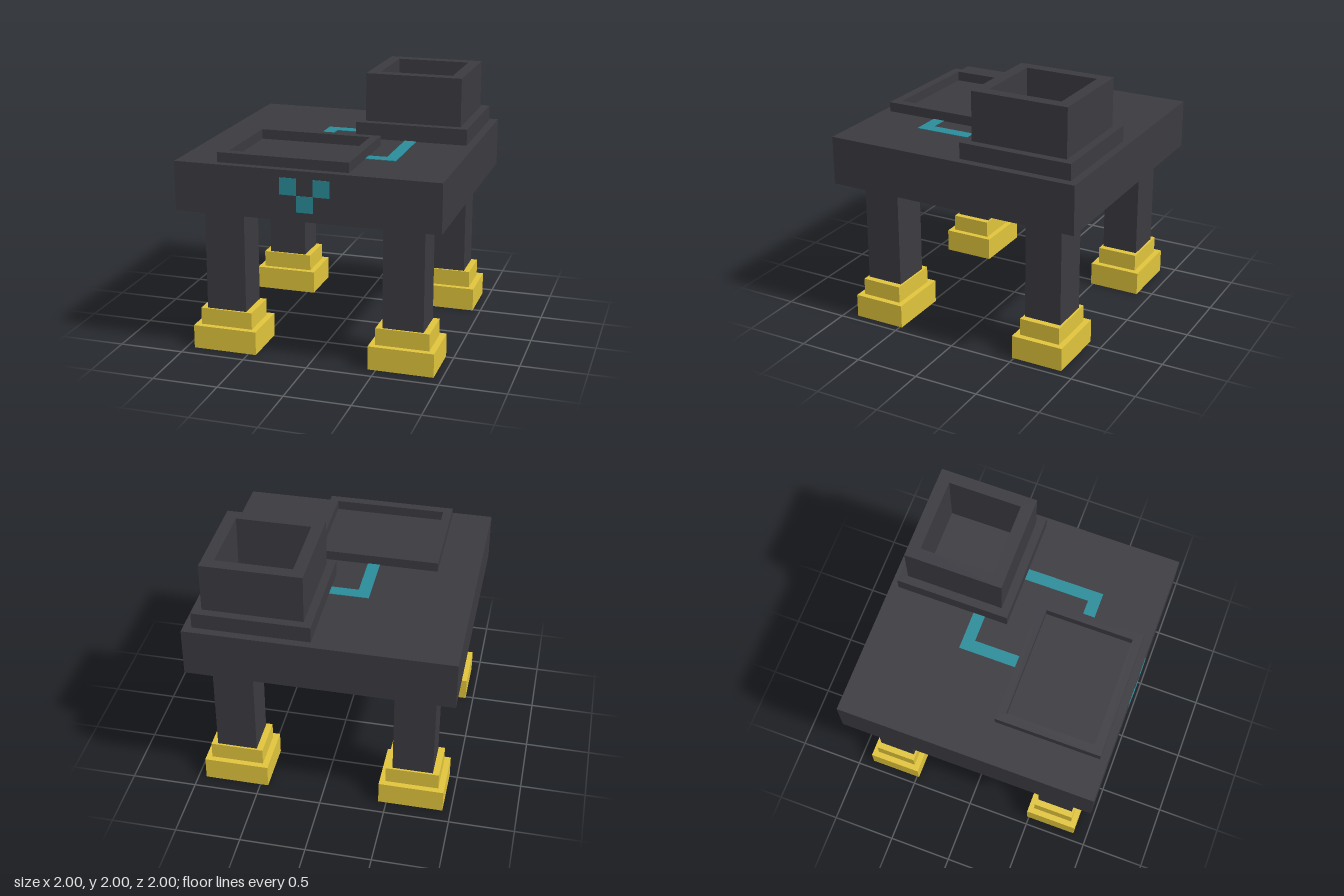
import * as THREE from 'three';

const dark = new THREE.MeshStandardMaterial({ name: 'charcoal', color: 0x3b3a40 });
const gold = new THREE.MeshStandardMaterial({ name: 'gold', color: 0xe0c43c });
const teal = new THREE.MeshStandardMaterial({ name: 'teal', color: 0x2a8c9a });

// Box given by its limits on each axis
function box(name, material, [x0, x1], [y0, y1], [z0, z1]) {
  const mesh = new THREE.Mesh(new THREE.BoxGeometry(x1 - x0, y1 - y0, z1 - z0), material);
  mesh.position.set((x0 + x1) / 2, (y0 + y1) / 2, (z0 + z1) / 2);
  mesh.name = name;
  return mesh;
}

// Counter-clockwise rectangle in plan, so that walls of openings face inwards
function rectangle(Type, [x0, x1], [z0, z1]) {
  return new Type([[x0, z1], [x1, z1], [x1, z0], [x0, z0]].map(([x, z]) => new THREE.Vector2(x, -z)));
}

// Upright rectangular frame: outer box with a rectangular opening through it
function frame(name, x, [y0, y1], z, holeX, holeZ) {
  const shape = rectangle(THREE.Shape, x, z);
  shape.holes.push(rectangle(THREE.Path, holeX, holeZ));
  const geometry = new THREE.ExtrudeGeometry(shape, { depth: y1 - y0, bevelEnabled: false });
  geometry.rotateX(-Math.PI / 2);
  const mesh = new THREE.Mesh(geometry, dark);
  mesh.position.y = y0;
  mesh.name = name;
  return mesh;
}

export function createModel() {
  const model = new THREE.Group();
  model.name = 'fourLeggedTable';

  // Body slab
  model.add(box('slab', dark, [-1, 1], [1.127, 1.501], [-1, 0.997]));

  // Four legs with stepped feet
  for (const sx of [-1, 1]) {
    for (const sz of [-1, 1]) {
      const leg = new THREE.Group();
      leg.name = (sz > 0 ? 'front' : 'back') + (sx > 0 ? 'Left' : 'Right') + 'Leg';
      leg.position.set(sx * 0.688, 0, sz * 0.687);
      leg.add(
        box('post', dark, [-0.155, 0.155], [0.315, 1.127], [-0.144, 0.144]),
        box('ankle', gold, [-0.204, 0.204], [0.183, 0.315], [-0.16, 0.16]),
        box('foot', gold, [-0.25, 0.25], [0, 0.183], [-0.204, 0.204]),
      );
      model.add(leg);
    }
  }

  // Shallow tray and tall open tower on its plinth
  const holeX = [0.213, 0.782], holeZ = [-0.785, -0.22];
  model.add(
    frame('tray', [-0.688, 0.312], [1.501, 1.576], [0.123, 0.937], [-0.62, 0.243], [0.187, 0.867]),
    frame('towerPlinth', [0.06, 0.937], [1.501, 1.625], [-0.94, -0.061], holeX, holeZ),
    frame('tower', [0.123, 0.873], [1.625, 2], [-0.877, -0.126], holeX, holeZ),
  );

  // Channels linking tray and tower
  const y = [1.499, 1.505];
  model.add(
    box('rightChannelAcross', teal, [-0.24, 0.06], y, [-0.33, -0.238]),
    box('rightChannelAlong', teal, [-0.24, -0.147], y, [-0.238, 0.123]),
    box('leftChannelAlong', teal, [0.452, 0.543], y, [-0.061, 0.538]),
    box('leftChannelAcross', teal, [0.312, 0.452], y, [0.447, 0.538]),
  );

  // Face squares on the front edge
  const z = [0.994, 1];
  model.add(
    box('rightEye', teal, [-0.19, -0.063], [1.318, 1.445], z),
    box('leftEye', teal, [0.06, 0.187], [1.318, 1.445], z),
    box('mouth', teal, [-0.065, 0.062], [1.195, 1.318], z),
  );
  return model;
}
